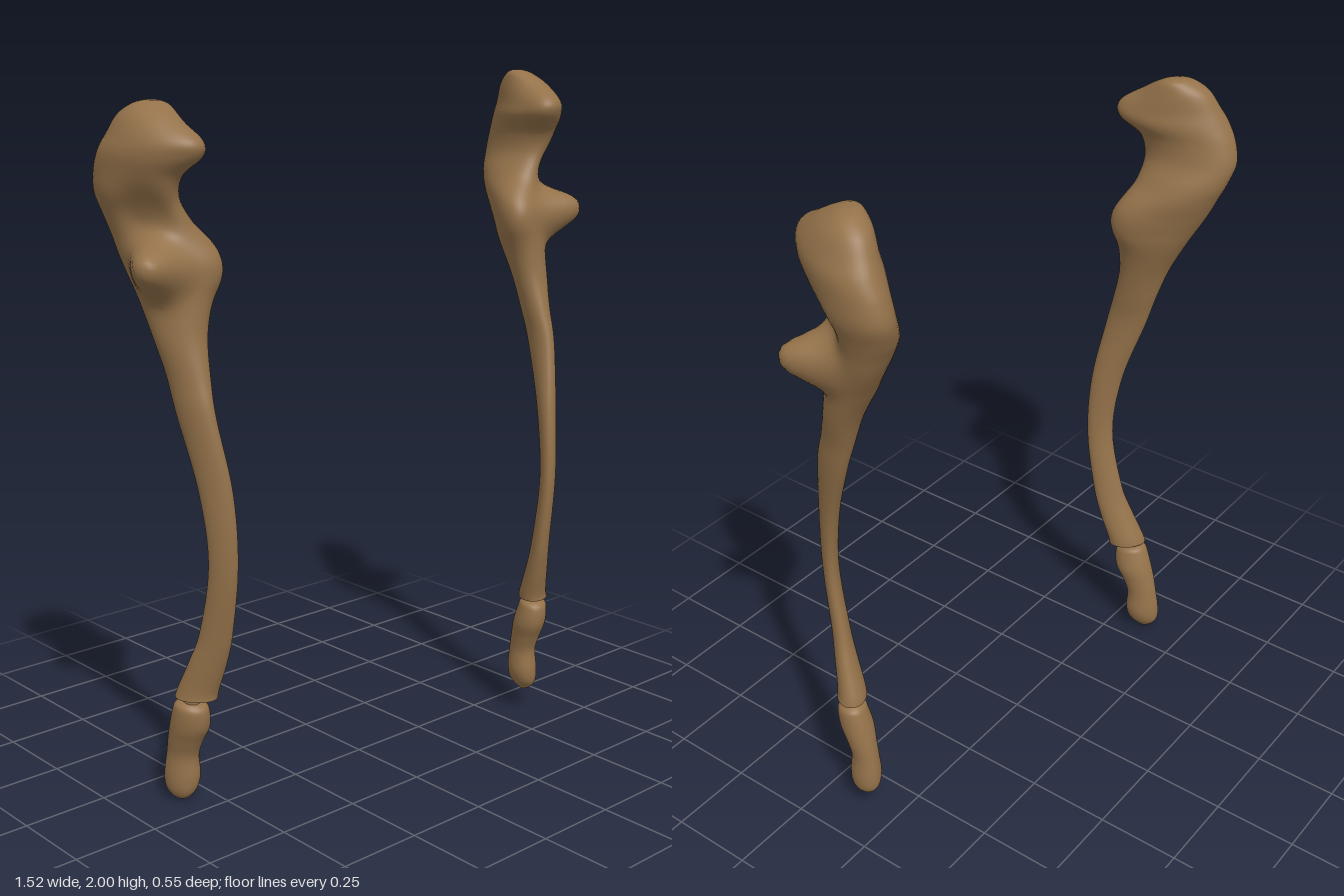
import * as THREE from 'three';

const SEG = 48;

// Cross-sections, top to bottom: y, x min, x max, z min, z max, skew in degrees
// (90 is an upright ellipse, smaller leans along the -x +z diagonal).
const SHAFT = [
  [2.0, 0.618, 0.65, -0.015, 0.02, 75],
  [1.99, 0.598, 0.685, -0.04, 0.05, 74],
  [1.96, 0.585, 0.718, -0.078, 0.105, 72],
  [1.91, 0.568, 0.742, -0.105, 0.17, 67],
  [1.87, 0.563, 0.757, -0.125, 0.17, 66],
  [1.82, 0.588, 0.76, -0.147, 0.13, 70],
  [1.76, 0.588, 0.757, -0.158, 0.115, 72],
  [1.7, 0.555, 0.737, -0.142, 0.112, 70],
  [1.65, 0.528, 0.722, -0.117, 0.122, 65],
  [1.6, 0.518, 0.712, -0.09, 0.14, 62],
  [1.55, 0.518, 0.7, -0.06, 0.148, 63],
  [1.5, 0.523, 0.688, -0.03, 0.152, 67],
  [1.4, 0.543, 0.67, 0.028, 0.162, 71],
  [1.3, 0.553, 0.647, 0.067, 0.19, 68],
  [1.2, 0.555, 0.634, 0.103, 0.22, 64],
  [1.0, 0.528, 0.603, 0.175, 0.258, 60],
  [0.8, 0.52, 0.587, 0.205, 0.271, 60],
  [0.6, 0.522, 0.597, 0.175, 0.25, 60],
  [0.5, 0.527, 0.618, 0.145, 0.23, 64],
  [0.42, 0.535, 0.638, 0.114, 0.21, 70],
  [0.392, 0.538, 0.645, 0.106, 0.208, 72],
];
const END = [
  [0.38, 0.585, 0.63, 0.12, 0.165, 85],
  [0.37, 0.563, 0.645, 0.105, 0.185, 82],
  [0.35, 0.555, 0.65, 0.096, 0.197, 80],
  [0.3, 0.55, 0.652, 0.08, 0.193, 80],
  [0.25, 0.56, 0.65, 0.068, 0.17, 80],
  [0.2, 0.566, 0.648, 0.059, 0.153, 80],
  [0.14, 0.562, 0.654, 0.053, 0.158, 80],
  [0.1, 0.572, 0.652, 0.056, 0.155, 80],
  [0.075, 0.59, 0.64, 0.072, 0.14, 82],
  [0.06, 0.605, 0.622, 0.095, 0.115, 85],
];

// Local pushes: centre, push, radius
const BUMPS = [
  { at: [0.672, 1.58, 0.088], push: [0.083, 0.016, 0.08], r: 0.068 }, // hooked lip below the notch
  { at: [0.53, 1.585, 0.085], push: [-0.024, 0, 0.018], r: 0.08 }, // inner lip
  { at: [0.7, 1.72, 0.07], push: [-0.02, 0, -0.02], r: 0.075 }, // hollow of the notch
  { at: [0.61, 1.89, 0.17], push: [-0.014, 0.004, 0.008], r: 0.07 }, // beak above the notch
];

function spline(a, b, c, d, t) {
  const m = (c - a) / 2, n = (d - b) / 2;
  return (2 * t ** 3 - 3 * t * t + 1) * b + (t ** 3 - 2 * t * t + t) * m
    + (3 * t * t - 2 * t ** 3) * c + (t ** 3 - t * t) * n;
}

// Smooth skin through the sections; side -1 mirrors it in x
function loft(sections, side, bumps = [], sub = 6) {
  const rows = [], last = sections.length - 1;
  const at = i => sections[Math.min(last, Math.max(0, i))];
  for (let i = 0; i < last; i++)
    for (let j = 0; j < sub; j++)
      rows.push(at(i).map((_, c) => spline(at(i - 1)[c], at(i)[c], at(i + 1)[c], at(i + 2)[c], j / sub)));
  rows.push(at(last));

  const pos = [], index = [];
  const tri = (a, b, c) => (side > 0 ? index.push(a, b, c) : index.push(a, c, b));
  for (const [y, x0, x1, z0, z1, skew] of rows) {
    for (let k = 0; k < SEG; k++) {
      const phi = (k / SEG) * Math.PI * 2;
      const p = [
        (x0 + x1) / 2 - ((x1 - x0) / 2) * Math.cos(phi + (skew * Math.PI) / 180),
        y,
        (z0 + z1) / 2 + ((z1 - z0) / 2) * Math.cos(phi),
      ];
      const q = p.slice();
      for (const b of bumps) {
        const d2 = b.at.reduce((s, v, n) => s + (v - p[n]) ** 2, 0) / (b.r * b.r);
        const w = Math.exp(-(d2 ** 1.4)); // blunt-topped falloff
        for (let n = 0; n < 3; n++) q[n] += b.push[n] * w;
      }
      pos.push(q[0] * side, q[1], q[2]);
    }
  }
  for (let i = 0; i < rows.length - 1; i++)
    for (let k = 0; k < SEG; k++) {
      const u = i * SEG + k, v = i * SEG + ((k + 1) % SEG);
      tri(u + SEG, v + SEG, v);
      tri(u + SEG, v, u);
    }
  // Flat caps with their own rim, so the edge stays crisp
  for (const top of [true, false]) {
    const ring = top ? 0 : (rows.length - 1) * SEG, rim = pos.length / 3;
    const r = top ? rows[0] : at(last);
    for (let k = 0; k < SEG * 3; k++) pos.push(pos[ring * 3 + k]);
    const mid = pos.length / 3;
    pos.push(side * (r[1] + r[2]) / 2, r[0], (r[3] + r[4]) / 2);
    for (let k = 0; k < SEG; k++) {
      const a = rim + k, b = rim + ((k + 1) % SEG);
      if (top) tri(mid, a, b); else tri(mid, b, a);
    }
  }
  const g = new THREE.BufferGeometry();
  g.setAttribute('position', new THREE.Float32BufferAttribute(pos, 3));
  g.setIndex(index);
  g.computeVertexNormals();
  return g;
}

function forearmBone(side, material) {
  const bone = new THREE.Group();
  bone.name = side > 0 ? 'leftBone' : 'rightBone';
  const add = (name, geometry) => {
    const mesh = new THREE.Mesh(geometry, material);
    mesh.name = name;
    bone.add(mesh);
    return mesh;
  };
  add('shaftAndElbow', loft(SHAFT, side, BUMPS));
  add('lowerEnd', loft(END, side));
  // Thin core joining the shaft to its lower end
  add('joint', new THREE.CylinderGeometry(0.024, 0.026, 0.05, 20)).position.set(0.602 * side, 0.385, 0.15);
  return bone;
}

export function createModel() {
  const model = new THREE.Group();
  model.name = 'forearmBones';
  const material = new THREE.MeshStandardMaterial({ color: 0x94724a });
  material.name = 'brownBone';

  const left = forearmBone(1, material);
  const right = forearmBone(-1, material);
  // The right bone sits lower, leans back and is turned a little outward
  right.rotation.set(0.062, -0.15, 0.015);
  right.position.set(0.038, -0.052, -0.122);
  model.add(left, right);
  return model;
}
